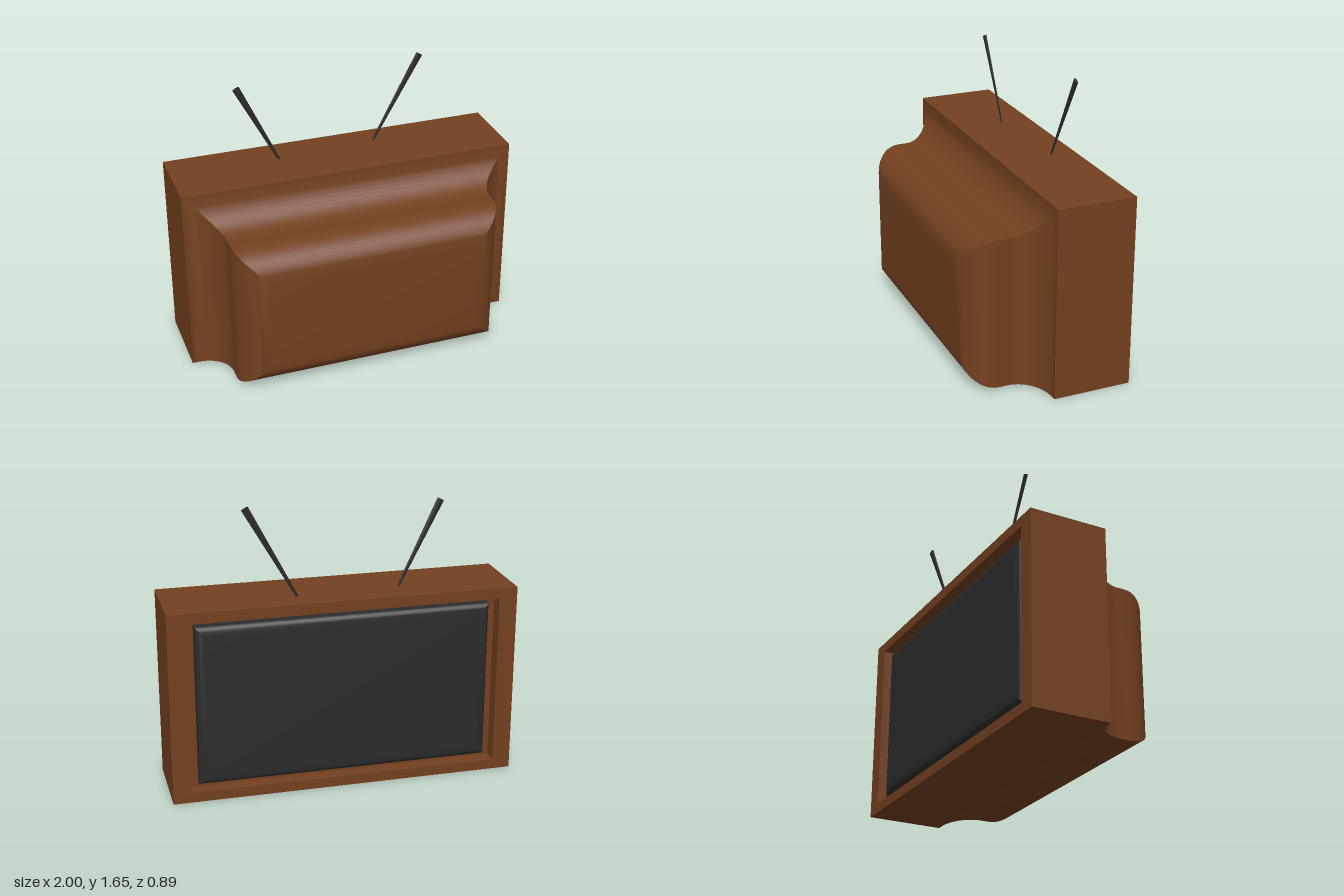
import * as THREE from 'three';
import { toCreasedNormals } from 'three/addons/utils/BufferGeometryUtils.js';

const wood = new THREE.MeshStandardMaterial({ color: 0x73401f });
const dark = new THREE.MeshStandardMaterial({ color: 0x2b2b2b });

// Skin a series of rectangles [halfWidth, bottom, top, z], capped at both ends
function loftRects(rects) {
  const rings = rects.map(([w, y0, y1, z]) => [[-w, y0, z], [w, y0, z], [w, y1, z], [-w, y1, z]]);
  const pos = [];
  const quad = (a, b, c, d) => pos.push(...a, ...b, ...c, ...a, ...c, ...d);
  for (let i = 0; i < rings.length - 1; i++) {
    for (let j = 0; j < 4; j++) {
      const k = (j + 1) % 4;
      quad(rings[i][j], rings[i][k], rings[i + 1][k], rings[i + 1][j]);
    }
  }
  const [s, e] = [rings[0], rings[rings.length - 1]];
  quad(s[3], s[2], s[1], s[0]);
  quad(e[0], e[1], e[2], e[3]);
  const g = new THREE.BufferGeometry();
  g.setAttribute('position', new THREE.Float32BufferAttribute(pos, 3));
  return toCreasedNormals(g, 0.5);
}

function add(group, name, geometry, material) {
  const mesh = new THREE.Mesh(geometry, material);
  mesh.name = name;
  group.add(mesh);
  return mesh;
}

// Tapered, flattened rod from base to tip
function addAntenna(group, name, base, tip) {
  const a = new THREE.Vector3(...base), b = new THREE.Vector3(...tip);
  const dir = b.clone().sub(a);
  const rod = add(group, name, new THREE.CylinderGeometry(0.021, 0.007, dir.length(), 16), dark);
  rod.scale.z = 0.4;
  rod.position.copy(a).add(b).multiplyScalar(0.5);
  rod.quaternion.setFromUnitVectors(new THREE.Vector3(0, 1, 0), dir.normalize());
}

export function createModel() {
  const group = new THREE.Group();
  group.name = 'television';
  const H = 1.123, steps = 14;
  const face = -0.445, ledge = -0.363;

  // Cabinet: recess floor, recess wall, face frame, box sides
  const rects = [
    [0.895, 0.058, 1.063, ledge],
    [0.895, 0.058, 1.063, face],
    [1, 0, H, face],
    [1, 0, H, 0.015],
  ];
  // Concave sweep into the tube housing
  for (let i = 1; i <= steps; i++) {
    const t = (i / steps) * Math.PI / 2, s = Math.sin(t);
    rects.push([1 - 0.205 * s, 0.02 * s, H - 0.213 * s, 0.015 + 0.19 * (1 - Math.cos(t))]);
  }
  // Rounded edge of the tube housing
  for (let i = 0; i <= steps; i++) {
    const t = (i / steps) * Math.PI / 2, c = 1 - Math.cos(t);
    rects.push([0.795 - 0.185 * c, 0.02 + 0.18 * c, 0.91 - 0.18 * c, 0.26 + 0.185 * Math.sin(t)]);
  }
  add(group, 'cabinet', loftRects(rects), wood);

  // Screen with softly rounded rim, set into the recess
  const screen = [];
  for (let i = 0; i <= 8; i++) {
    const t = (i / 8) * Math.PI / 2, d = 0.06 * (1 - Math.sin(t));
    screen.push([0.845 - d, 0.09 + d, 1.03 - d, face + 0.015 + 0.03 * (1 - Math.cos(t))]);
  }
  screen.push([0.845, 0.09, 1.03, ledge + 0.005]);
  add(group, 'screen', loftRects(screen), dark);

  // Pair of antennas on the top
  addAntenna(group, 'leftAntenna', [0.235, 1.1, -0.302], [0.535, 1.643, -0.302]);
  addAntenna(group, 'rightAntenna', [-0.34, 1.1, -0.258], [-0.595, 1.612, -0.246]);
  return group;
}
